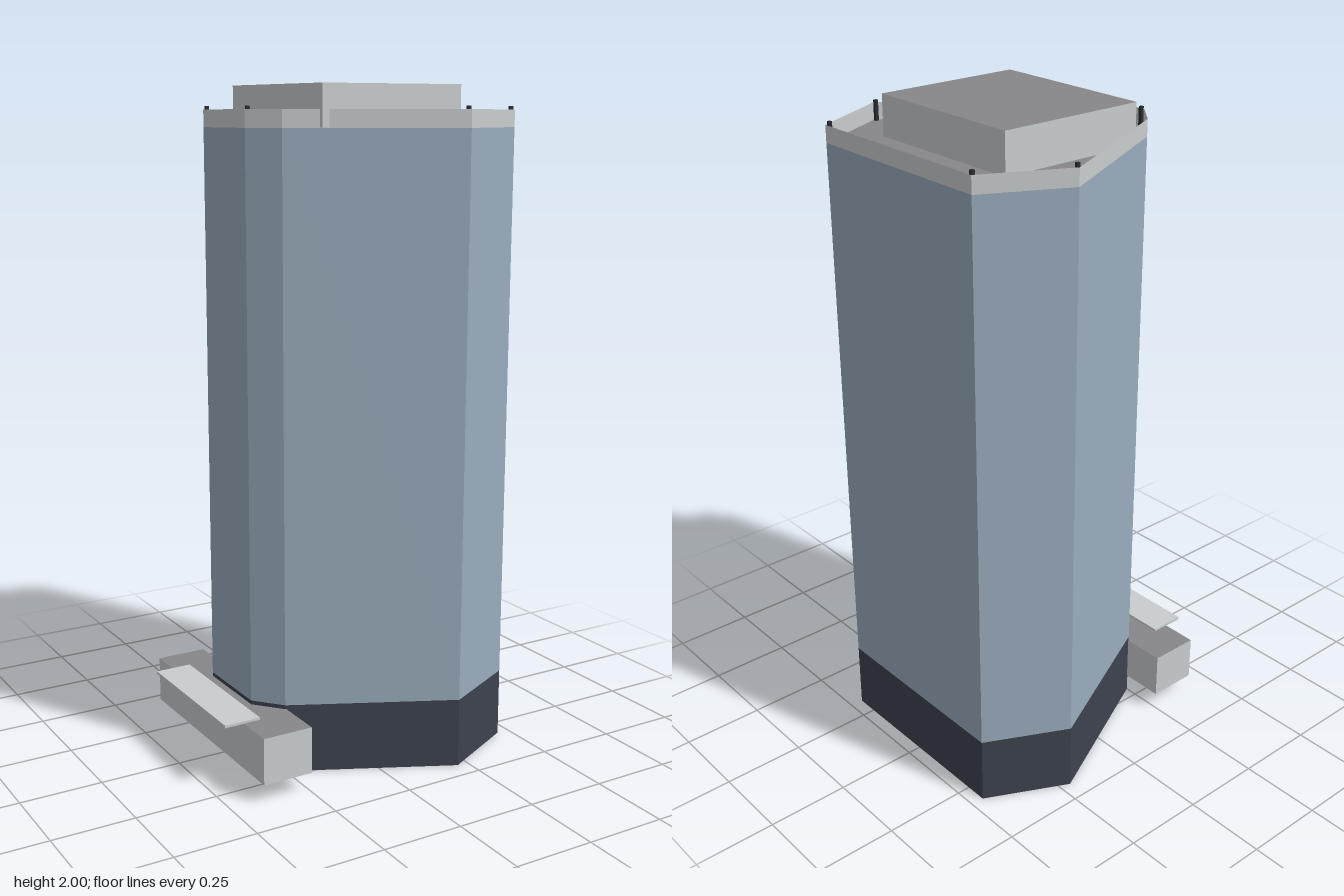
import * as THREE from 'three';

const flat = (name, color, side = THREE.FrontSide) => {
  const m = new THREE.MeshStandardMaterial({ color, side });
  m.name = name;
  return m;
};

// half of the plan outline (x, z), mirrored across z = 0
const half = [[0.46, 0.317], [0.216, 0.44], [-0.25, 0.211], [-0.32, 0.128]];
const outline = [...half, ...half.slice().reverse().map(([x, z]) => [x, -z])];

// open vertical wall following the outline
function wallGeometry(y0, y1) {
  const pos = [];
  outline.forEach(([x0, z0], i) => {
    const [x1, z1] = outline[(i + 1) % outline.length];
    pos.push(x0, y0, z0, x1, y1, z1, x1, y0, z1, x0, y0, z0, x0, y1, z0, x1, y1, z1);
  });
  // outline runs clockwise seen from the front of each wall, so flip every triangle
  for (let t = 0; t < pos.length; t += 9) {
    for (let k = 0; k < 3; k++) [pos[t + 3 + k], pos[t + 6 + k]] = [pos[t + 6 + k], pos[t + 3 + k]];
  }
  const g = new THREE.BufferGeometry();
  g.setAttribute('position', new THREE.Float32BufferAttribute(pos, 3));
  // orient outward: compare the first triangle's normal with its position
  g.computeVertexNormals();
  const n = g.attributes.normal, p = g.attributes.position;
  if (n.getX(0) * p.getX(0) + n.getZ(0) * p.getZ(0) < 0) {
    for (let t = 0; t < pos.length; t += 9) {
      for (let k = 0; k < 3; k++) [pos[t + 3 + k], pos[t + 6 + k]] = [pos[t + 6 + k], pos[t + 3 + k]];
    }
    g.setAttribute('position', new THREE.Float32BufferAttribute(pos, 3));
    g.computeVertexNormals();
  }
  return g;
}

export function createModel() {
  const group = new THREE.Group();
  const glass = flat('blue glass', 0x9aacbd, THREE.DoubleSide);
  const base = flat('dark base', 0x3d424e, THREE.DoubleSide);
  const pale = flat('pale concrete', 0xc9cdce, THREE.DoubleSide);
  const roofing = flat('grey roofing', 0x87878a, THREE.DoubleSide);
  const dark = flat('dark metal', 0x2b2d33);

  const add = (name, geometry, material) => {
    const mesh = new THREE.Mesh(geometry, material);
    mesh.name = name;
    group.add(mesh);
    return mesh;
  };
  // box given by its limits on each axis
  const box = (name, x0, x1, y0, y1, z0, z1, material) =>
    add(name, new THREE.BoxGeometry(x1 - x0, y1 - y0, z1 - z0), material)
      .position.set((x0 + x1) / 2, (y0 + y1) / 2, (z0 + z1) / 2);

  // tower walls
  add('baseWall', wallGeometry(0, 0.21), base);
  add('glassWall', wallGeometry(0.21, 1.88), glass);
  add('parapet', wallGeometry(1.88, 1.93), pale);

  // floor over the open base, and roof deck
  const plan = new THREE.Shape(outline.map(([x, z]) => new THREE.Vector2(x, -z)));
  for (const [name, y] of [['lowerFloor', 0.209], ['roofDeck', 1.88]]) {
    add(name, new THREE.ShapeGeometry(plan).rotateX(-Math.PI / 2), roofing).position.y = y;
  }

  // corner posts just inside the walls
  for (const [x, z] of [[0.451, 0.309], [0.213, 0.429], [-0.31, 0.125]]) {
    for (const s of [-1, 1]) {
      box('cornerPost', x - 0.005, x + 0.005, 0.21, 1.94, s * z - 0.005, s * z + 0.005, dark);
    }
  }

  // pale blocks with grey tops
  const capped = [pale, pale, roofing, pale, pale, pale];
  box('roofHouse', -0.157, 0.303, 1.881, 2, -0.258, 0.268, capped);
  box('entranceBlock', -0.403, -0.247, 0.057, 0.198, -0.347, 0.361, capped);
  box('entranceCanopy', -0.463, -0.35, 0.197, 0.205, -0.234, 0.239, pale);

  return group;
}
